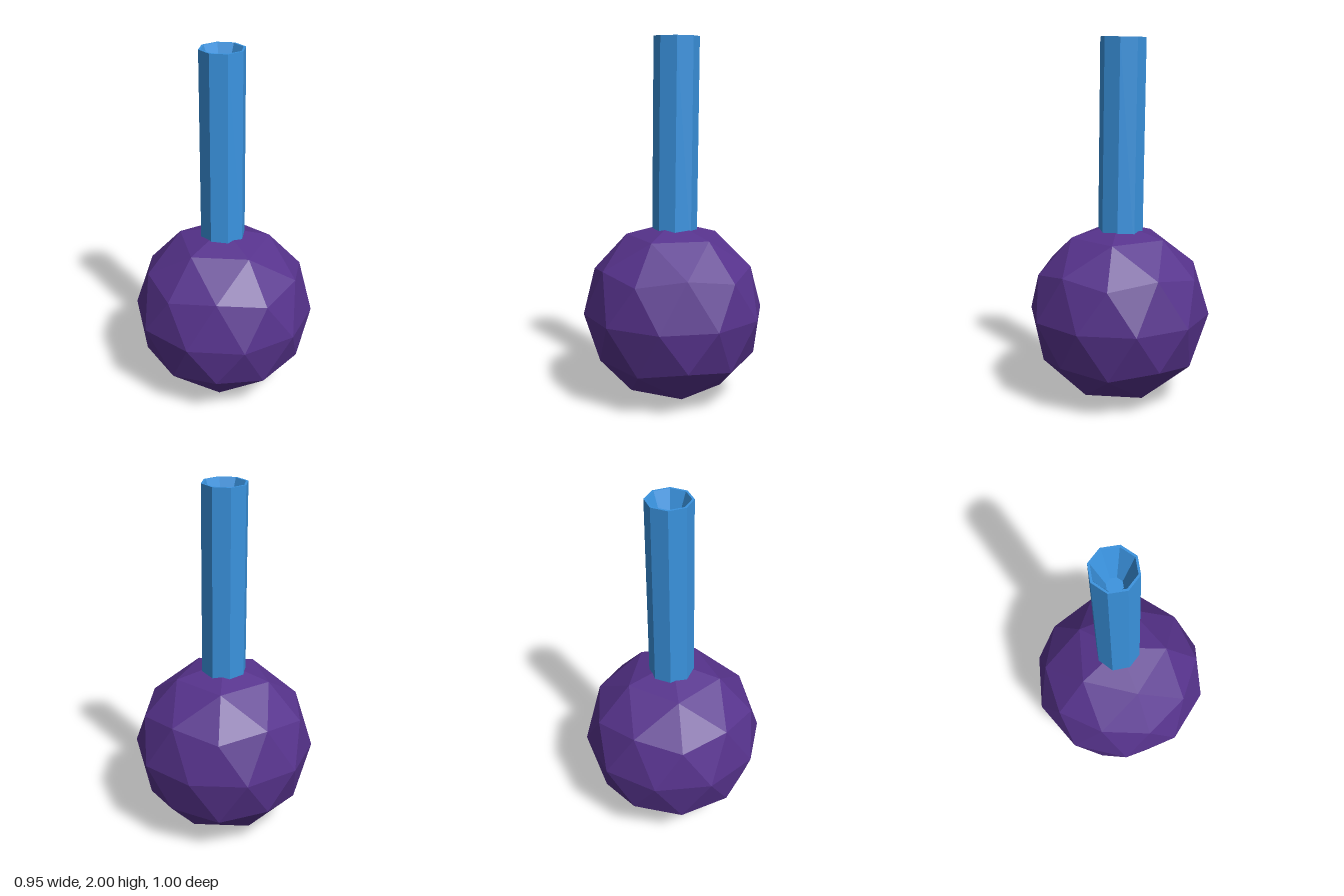
import * as THREE from 'three';

// Icosahedron standing on a vertex, each edge split once and pushed out to the sphere
function poleSphere(radius) {
  const ring = (i, y, offset) => {
    const a = (i * 2 + offset) * Math.PI / 5;
    return [2 * Math.cos(a), y, 2 * Math.sin(a)];
  };
  const points = [0, Math.sqrt(5), 0, 0, -Math.sqrt(5), 0];
  for (let i = 0; i < 5; i++) points.push(...ring(i, 1, 0), ...ring(i, -1, 1));
  const faces = [];
  const upper = (i) => 2 + (i % 5) * 2;
  const lower = (i) => 3 + (i % 5) * 2;
  for (let i = 0; i < 5; i++) {
    faces.push(0, upper(i + 1), upper(i));
    faces.push(upper(i), upper(i + 1), lower(i));
    faces.push(lower(i), upper(i + 1), lower(i + 1));
    faces.push(1, lower(i), lower(i + 1));
  }
  return new THREE.PolyhedronGeometry(points, faces, radius, 1);
}

export function createModel() {
  const model = new THREE.Group();
  const add = (name, geometry, color) => {
    const material = new THREE.MeshStandardMaterial({ color, flatShading: true });
    const mesh = new THREE.Mesh(geometry, material);
    mesh.name = name;
    model.add(mesh);
    return mesh;
  };

  // Faceted round bulb
  add('bulb', poleSphere(0.5), 0x57338d).position.y = 0.5;

  // Eight-sided neck with a tapered hollow at its mouth, leaning slightly back
  const profile = [
    [0, 0.35], [0.123, 0.35], [0.123, 1.498], [0.111, 1.498], [0.043, 1.32], [0, 1.32],
  ].map(([r, y]) => new THREE.Vector2(r, y));
  const neck = add('neck', new THREE.LatheGeometry(profile, 8), 0x3a93df);
  neck.position.set(0, 0.5, -0.002);
  neck.rotation.x = -0.015;

  return model;
}
